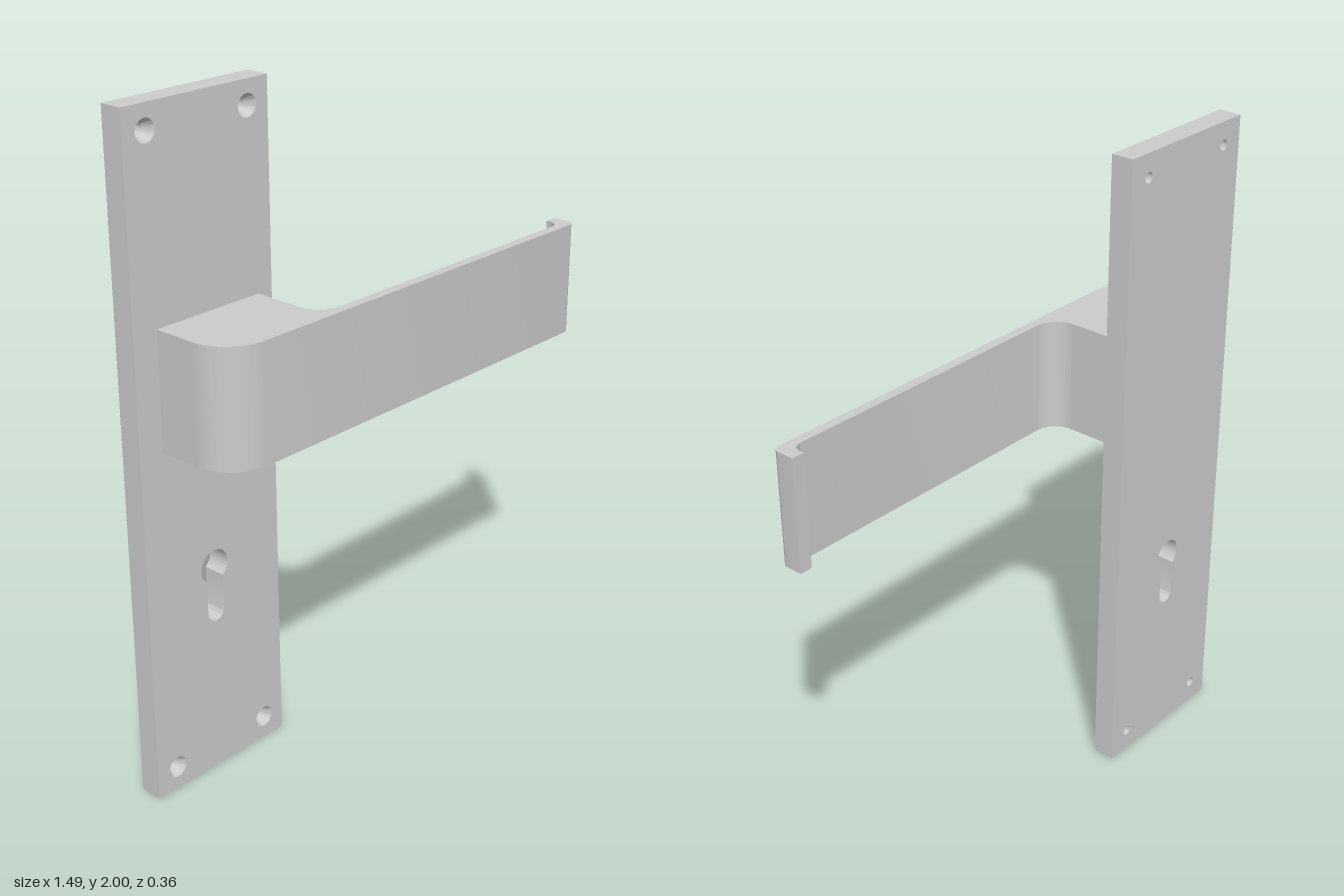
import * as THREE from 'three';
import { toCreasedNormals } from 'three/addons/utils/BufferGeometryUtils.js';

const material = new THREE.MeshStandardMaterial({ color: 0xcccccc });
const BACK = -0.178, FRONT = -0.108, THICK = FRONT - BACK;
const CENTRE = -0.5;

function add(group, name, geometry) {
  const mesh = new THREE.Mesh(geometry, material);
  mesh.name = name;
  group.add(mesh);
  return mesh;
}

function extrude(shape, depth) {
  const g = new THREE.ExtrudeGeometry(shape, { depth, bevelEnabled: false, curveSegments: 24 });
  return toCreasedNormals(g, 0.5);
}

export function createModel() {
  const model = new THREE.Group();
  model.name = 'doorHandle';

  // Back plate with keyhole and four screw holes
  const x0 = -0.747, x1 = -0.253;
  const plate = new THREE.Shape();
  plate.moveTo(x0, 0).lineTo(x1, 0).lineTo(x1, 2).lineTo(x0, 2).closePath();

  const keyhole = new THREE.Path();
  const r = 0.05, slot = 0.03, cy = 0.655, a = Math.asin(slot / r);
  keyhole.absarc(CENTRE - 0.002, cy, r, -Math.PI / 2 + a, Math.PI * 1.5 - a, false);
  keyhole.absarc(CENTRE - 0.002, 0.51, slot, Math.PI, Math.PI * 2, false);
  keyhole.closePath();
  plate.holes.push(keyhole);

  const screws = [];
  for (const x of [CENTRE - 0.173, CENTRE + 0.173])
    for (const y of [0.07, 1.93]) screws.push([x, y]);
  for (const [x, y] of screws) {
    const hole = new THREE.Path();
    hole.absarc(x, y, 0.032, 0, Math.PI * 2, false);
    plate.holes.push(hole);
  }
  add(model, 'backPlate', extrude(plate, THICK)).position.z = BACK;

  // Countersunk linings narrow each screw hole towards the back
  const profile = [[0.032, THICK], [0.016, THICK - 0.03], [0.016, 0], [0.032, 0]]
    .map(([px, py]) => new THREE.Vector2(px, py));
  const sink = toCreasedNormals(new THREE.LatheGeometry(profile, 48).rotateX(Math.PI / 2), 0.5);
  screws.forEach(([x, y]) => add(model, 'screwHole', sink).position.set(x, y, BACK));

  // Round neck between plate and lever
  const neck = new THREE.CylinderGeometry(0.133, 0.133, 0.034, 64).rotateX(Math.PI / 2);
  add(model, 'neck', neck).position.set(-0.508, 1.262, -0.094);

  // Lever: plan outline (shape y is -z) extruded upwards
  const H = Math.PI / 2;
  const lever = new THREE.Shape();
  lever.moveTo(-0.691, 0.08).lineTo(-0.33, 0.08).lineTo(-0.33, -0.075);
  lever.absarc(-0.257, -0.075, 0.073, Math.PI, 3 * H, false); // inner elbow
  lever.lineTo(0.675, -0.148);
  lever.absarc(0.675, -0.115, 0.033, -H, 0, false); // inside of the end lip
  lever.lineTo(0.708, -0.103).lineTo(0.747, -0.103).lineTo(0.747, -0.155);
  lever.absarc(0.724, -0.155, 0.023, 0, -H, true); // outside of the end lip
  lever.lineTo(-0.561, -0.178);
  lever.absarc(-0.561, -0.048, 0.13, -H, -Math.PI, true); // outer elbow
  lever.closePath();
  const grip = add(model, 'lever', extrude(lever, 0.345));
  grip.rotation.x = -H;
  grip.position.y = 1.08;

  return model;
}
